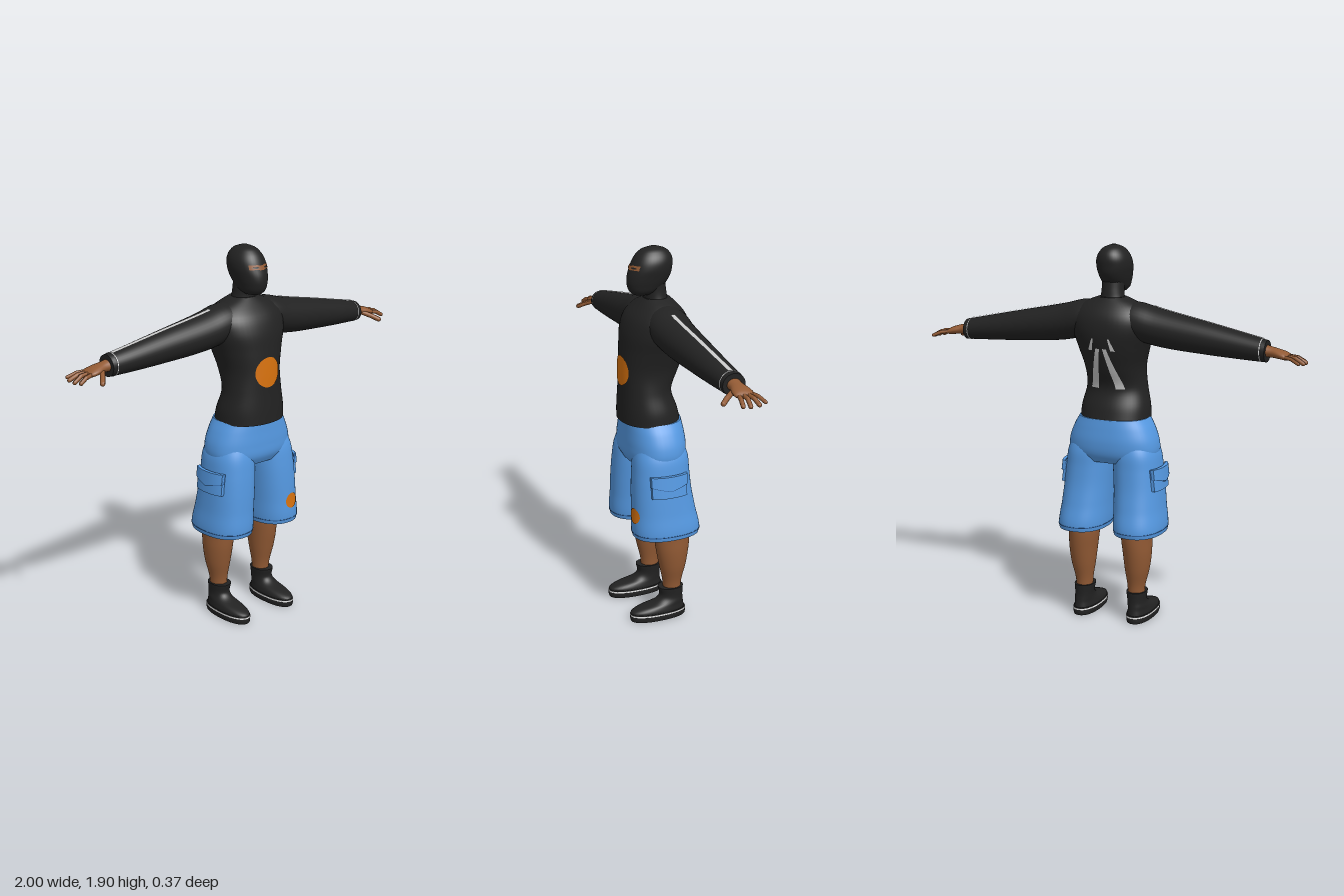
import * as THREE from 'three';

const mat = (name, color) => {
  const m = new THREE.MeshStandardMaterial({ color });
  m.name = name;
  return m;
};

// Smooth interpolation through rows of [t, centreA, centreB, radiusA, radiusB]
function profile(rows, power = 2) {
  const f = new THREE.CubicInterpolant(rows.map(r => r[0]), rows.flatMap(r => r.slice(1)), 4);
  const at = t => Array.from(f.evaluate(t));
  const bulge = u => Math.pow(Math.max(0, 1 - Math.pow(Math.min(1, Math.abs(u)), power)), 1 / power);
  return {
    at, power, t0: rows[0][0], t1: rows[rows.length - 1][0],
    // surface height along one cross axis when the other is known
    b: (t, a, side = 1) => { const [ca, cb, ra, rb] = at(t); return cb + side * rb * bulge((a - ca) / ra); },
    a: (t, b, side = 1) => { const [ca, cb, ra, rb] = at(t); return ca + side * ra * bulge((b - cb) / rb); },
  };
}

// Closed loft of superellipse rings; alongX runs it sideways, otherwise upward
function loft(p, { alongX = false, rings = 24, seg = 36, from = p.t0, to = p.t1, grow = 0 } = {}) {
  const pos = [], idx = [];
  const put = (a, t, b) => alongX ? pos.push(t, a, b) : pos.push(a, t, b);
  const tri = (a, b, c) => alongX ? idx.push(a, c, b) : idx.push(a, b, c);
  const se = v => Math.sign(v) * Math.pow(Math.abs(v), 2 / p.power);
  const ring = t => {
    const [ca, cb, ra, rb] = p.at(t);
    for (let j = 0; j < seg; j++) {
      const q = (j / seg) * Math.PI * 2;
      put(ca + (ra + grow) * se(Math.cos(q)), t, cb + (rb + grow) * se(Math.sin(q)));
    }
  };
  for (let i = 0; i <= rings; i++) ring(from + (to - from) * i / rings);
  for (let i = 0; i < rings; i++) for (let j = 0; j < seg; j++) {
    const k = (j + 1) % seg, o = i * seg;
    tri(o + j, o + seg + j, o + k);
    tri(o + k, o + seg + j, o + seg + k);
  }
  for (const [t, top] of [[from, false], [to, true]]) {
    const o = pos.length / 3;
    ring(t);
    const [ca, cb] = p.at(t);
    put(ca, t, cb);
    for (let j = 0; j < seg; j++) {
      const k = (j + 1) % seg;
      top ? tri(o + seg, o + k, o + j) : tri(o + seg, o + j, o + k);
    }
  }
  const g = new THREE.BufferGeometry();
  g.setAttribute('position', new THREE.Float32BufferAttribute(pos, 3));
  g.setIndex(idx);
  g.computeVertexNormals();
  return g;
}

// Move every vertex by a rule
function bend(g, rule) {
  const p = g.attributes.position, v = new THREE.Vector3();
  for (let i = 0; i < p.count; i++) {
    rule(v.fromBufferAttribute(p, i));
    p.setXYZ(i, v.x, v.y, v.z);
  }
  g.computeVertexNormals();
  return g;
}

function mirrored(g) {
  const m = g.clone().scale(-1, 1, 1), ix = m.index.array;
  for (let i = 0; i < ix.length; i += 3) [ix[i], ix[i + 1]] = [ix[i + 1], ix[i]];
  m.computeVertexNormals();
  return m;
}

export function createModel() {
  const model = new THREE.Group();
  const black = mat('black cloth', 0x222222), blue = mat('blue denim', 0x5599e2);
  const seam = mat('dark blue seam', 0x30609c), skin = mat('brown skin', 0x925a34);
  const orange = mat('orange print', 0xd8720e), white = mat('white trim', 0xf0f0f0);
  const grey = mat('pale grey print', 0xc8c8c8);
  const add = (name, g, m) => {
    const mesh = new THREE.Mesh(g, m);
    mesh.name = name;
    model.add(mesh);
  };
  const pair = (name, g, m) => {
    add(name + 'Left', g, m);
    add(name + 'Right', mirrored(g), m);
  };

  // Shirt body and neck
  const torso = profile([
    [1.04, 0, .025, .178, .15], [1.1, 0, .032, .175, .142], [1.2, 0, .045, .154, .125],
    [1.3, 0, .025, .152, .143], [1.4, 0, .005, .178, .157], [1.5, 0, -.008, .208, .157],
    [1.57, 0, -.015, .2, .135], [1.62, 0, -.02, .145, .095], [1.65, 0, -.02, .07, .065],
  ], 2.2);
  add('shirtBody', loft(torso, { rings: 40, seg: 48 }), black);
  const neck = profile([[1.58, 0, -.025, .085, .075], [1.64, 0, -.017, .062, .058],
    [1.68, 0, -.012, .056, .056], [1.74, 0, 0, .058, .06]]);
  add('neck', loft(neck), black);
  add('chestSpot', bend(new THREE.RingGeometry(.0005, .075, 40, 6).translate(0, 1.3, 0),
    v => { v.z = torso.b(v.y, v.x) + .004; }), orange);

  // Plain slanted stripes on the back
  const backStripe = (y0, y1, x0, x1, w0, w1) => bend(new THREE.PlaneGeometry(1, 1, 4, 12).rotateY(Math.PI), v => {
    const f = .5 - v.y;
    const x = x0 + (x1 - x0) * f + v.x * (w0 + (w1 - w0) * f);
    v.y = y0 + (y1 - y0) * f;
    v.set(x, v.y, torso.b(v.y, x, -1) - .004);
  });
  pair('backStripe', backStripe(1.41, 1.2, .018, .068, .02, .045), grey);
  pair('backStripeSmall', backStripe(1.46, 1.4, .042, .06, .008, .022), grey);

  // Hooded head with an eye opening
  const head = profile([
    [1.672, 0, .055, .036, .045], [1.685, 0, .05, .052, .066], [1.72, 0, .035, .067, .095],
    [1.76, 0, .021, .078, .108], [1.8, 0, .01, .085, .106], [1.84, 0, .001, .08, .098],
    [1.87, 0, -.003, .063, .08], [1.89, 0, -.004, .041, .053], [1.902, 0, -.004, .01, .013],
  ], 2.1);
  add('hood', loft(head, { rings: 36, seg: 40 }), black);
  add('eyeOpening', bend(new THREE.PlaneGeometry(.116, .022, 20, 2).translate(0, 1.808, 0), v => {
    v.y -= Math.abs(v.x) < .012 ? .003 : 0;
    v.z = head.b(v.y, v.x) + .003;
  }), skin);
  pair('eye', bend(new THREE.CircleGeometry(1, 16).scale(.017, .004, 1).translate(.031, 1.807, 0),
    v => { v.z = head.b(v.y, v.x) + .006; }), black);

  // Sleeves with trim
  const sleeve = profile([
    [.06, 1.545, -.02, .085, .1], [.15, 1.535, -.02, .094, .106], [.25, 1.512, -.02, .092, .1],
    [.5, 1.477, -.028, .077, .08], [.7, 1.452, -.036, .061, .065], [.805, 1.44, -.042, .052, .056],
  ]);
  pair('sleeve', loft(sleeve, { alongX: true, rings: 30 }), black);
  pair('cuffStitch', loft(sleeve, { alongX: true, rings: 1, from: .779, to: .783, grow: .0015 }), white);
  pair('sleeveStripe', bend(new THREE.PlaneGeometry(.56, .022, 30, 3).rotateX(-Math.PI / 2).translate(.5, 0, 0), v => {
    v.z -= .008 + (v.x - .22) * .05;
    v.y = sleeve.a(v.x, v.z) + .004;
  }), grey);

  // Hands: palm, four fingers and thumb
  const palm = profile([[.79, 1.443, -.042, .03, .036], [.83, 1.438, -.042, .025, .034],
    [.87, 1.431, -.043, .022, .045], [.905, 1.423, -.045, .017, .046], [.92, 1.419, -.046, .009, .036]]);
  pair('palm', loft(palm, { alongX: true, rings: 12, seg: 20 }), skin);
  const digits = [
    ['littleFinger', .009, [.89, 1.425, -.077], [.935, 1.421, -.094], [.975, 1.404, -.109]],
    ['ringFinger', .0105, [.9, 1.424, -.058], [.95, 1.42, -.066], [.988, 1.4, -.073]],
    ['middleFinger', .0105, [.9, 1.424, -.038], [.95, 1.42, -.036], [.988, 1.398, -.031]],
    ['indexFinger', .0105, [.9, 1.422, -.018], [.943, 1.416, -.008], [.974, 1.398, -.002]],
    ['thumb', .0125, [.84, 1.43, -.025], [.875, 1.41, .025], [.897, 1.394, .054]],
  ];
  for (const [name, r, ...pts] of digits) {
    const v = pts.map(p => new THREE.Vector3(...p));
    for (let i = 0; i < 2; i++) {
      const d = v[i + 1].clone().sub(v[i]), len = d.length();
      const g = new THREE.CapsuleGeometry(r, len, 4, 10);
      g.applyQuaternion(new THREE.Quaternion().setFromUnitVectors(new THREE.Vector3(0, 1, 0), d.normalize()));
      const c = v[i].clone().lerp(v[i + 1], .5);
      pair(name + (i ? 'Tip' : 'Base'), g.translate(c.x, c.y, c.z), skin);
    }
  }

  // Shorts: hips and two wide legs
  const hips = profile([[.83, 0, .012, .21, .125], [.87, 0, .012, .232, .145], [.93, 0, .01, .231, .15],
    [1, 0, .012, .206, .145], [1.05, 0, .015, .178, .14]], 2.4);
  add('shortsHips', loft(hips, { seg: 48 }), blue);
  const leg = profile([[.47, .152, -.006, .122, .17], [.485, .152, -.006, .125, .174], [.6, .144, .004, .122, .163],
    [.7, .137, .012, .12, .153], [.8, .129, .014, .118, .145], [.88, .122, .012, .113, .137],
    [.95, .11, .012, .095, .115]], 2.3);
  pair('shortsLeg', loft(leg, { rings: 30, seg: 48 }), blue);
  pair('hemSeam', loft(leg, { rings: 1, seg: 48, from: .489, to: .493, grow: .0015 }), seam);
  add('shortsSpot', bend(new THREE.RingGeometry(.0005, .04, 28, 4).translate(.165, .59, 0),
    v => { v.z = leg.b(v.y, v.x) + .004; }), orange);

  // Side pockets wrapped on the legs, with pointed flaps
  const wrap = (g, y, lift) => bend(g.translate(0, y, .015), v => { v.x += leg.a(v.y, v.z) + lift; });
  const flap = (drop, depth) => bend(new THREE.BoxGeometry(depth, .055, .192, 1, 1, 12),
    v => { if (v.y < 0) v.y -= drop * (1 - Math.abs(v.z) / .096) - .005; });
  pair('pocket', wrap(new THREE.BoxGeometry(.024, .105, .184, 1, 4, 12), .752, .004), blue);
  pair('pocketFlapSeam', wrap(flap(.024, .016), .781, .0135), seam);
  pair('pocketFlap', wrap(flap(.022, .018), .7835, .016), blue);

  // Bare calves
  const calf = profile([[.13, .145, -.045, .041, .045], [.19, .146, -.045, .045, .049], [.28, .15, -.045, .062, .069],
    [.37, .15, -.044, .072, .085], [.44, .146, -.044, .076, .092], [.52, .146, -.042, .078, .094]]);
  pair('calf', loft(calf), skin);

  // Boots with soles and a white welt line
  const boot = profile([[.028, .15, .035, .06, .146], [.05, .15, .036, .059, .143], [.066, .15, .018, .055, .122],
    [.082, .15, -.018, .05, .084], [.105, .148, -.036, .046, .064], [.16, .146, -.037, .051, .066]], 2.2);
  pair('boot', loft(boot, { rings: 28 }), black);
  const sole = profile([[0, .15, .035, .06, .147], [.012, .15, .035, .063, .15], [.04, .15, .035, .062, .149]], 2.3);
  pair('sole', loft(sole, { rings: 6 }), black);
  pair('soleLine', loft(sole, { rings: 1, from: .029, to: .036, grow: .0015 }), white);

  return model;
}
